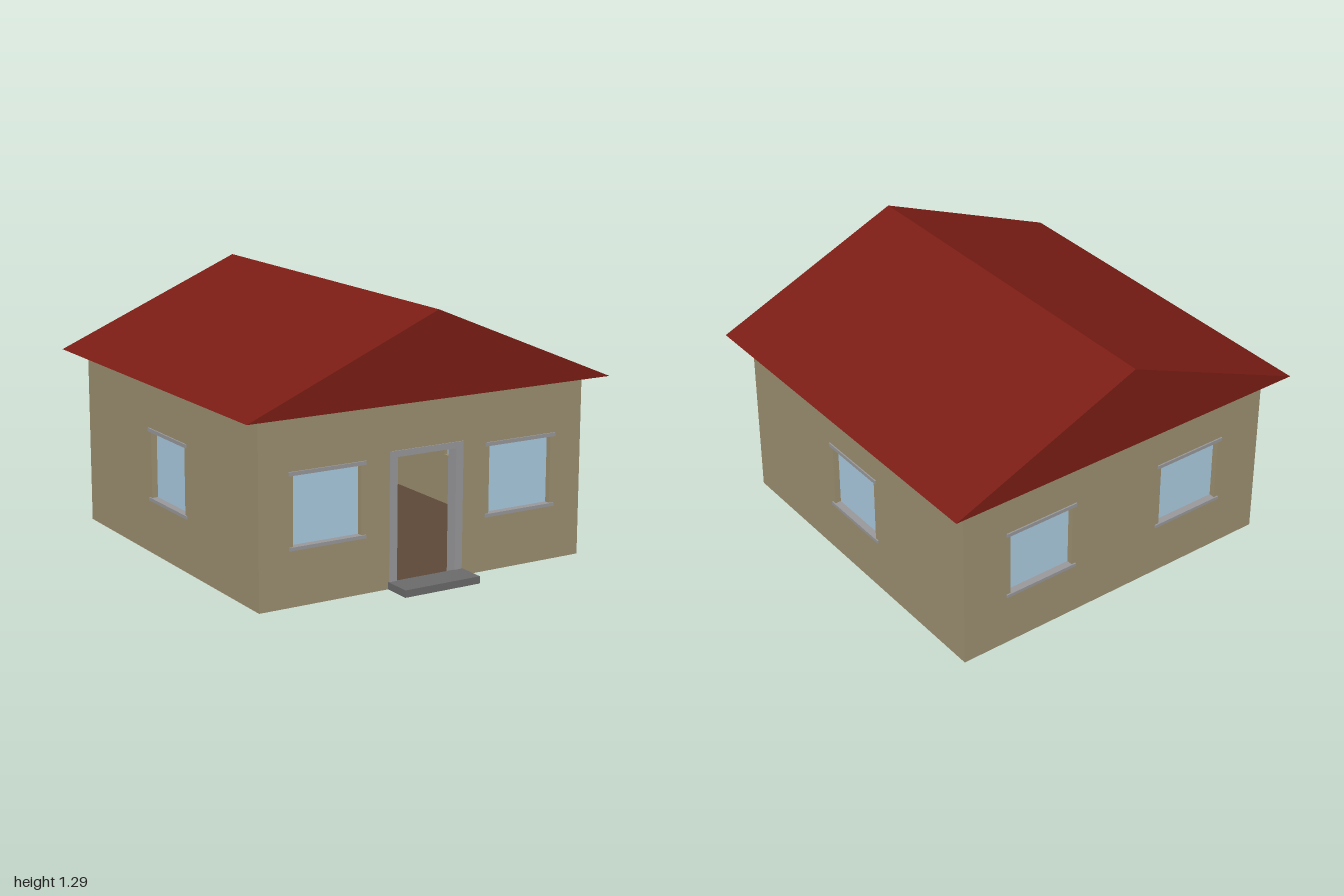
import * as THREE from 'three';

const mat = (color) => new THREE.MeshStandardMaterial({ color });
const wallMat = mat(0x9c8f70), roofMat = mat(0x7a1d14), glassMat = mat(0xaacbe0);
const trimMat = mat(0x98989a), stepMat = mat(0x6a6a6a), floorMat = mat(0x5e4837), woodMat = mat(0x4a3020);

const T = 0.06; // wall thickness
const H = 0.885; // eaves height
const WIN_Y0 = 0.275, WIN_Y1 = 0.61;
const X = 0.88, Z_FRONT = 0.855, Z_BACK = -0.91;

function box(name, material, x0, x1, y0, y1, z0, z1) {
  const m = new THREE.Mesh(new THREE.BoxGeometry(x1 - x0, y1 - y0, z1 - z0), material);
  m.position.set((x0 + x1) / 2, (y0 + y1) / 2, (z0 + z1) / 2);
  m.name = name;
  return m;
}

function extrude(name, material, shape, depth, z) {
  const m = new THREE.Mesh(new THREE.ExtrudeGeometry(shape, { depth, bevelEnabled: false }), material);
  m.position.z = z;
  m.name = name;
  return m;
}

const polygon = (pts) => new THREE.Shape(pts.map(([x, y]) => new THREE.Vector2(x, y)));

// Wall with outer face on local z = 0, cut by windows [u0, u1] and an optional doorway
function wall(name, u0, u1, windows, door) {
  const g = new THREE.Group();
  g.name = name;
  const notch = door ? [[-door.w, 0], [-door.w, door.h], [door.w, door.h], [door.w, 0]] : [];
  const shape = polygon([[u0, 0], ...notch, [u1, 0], [u1, H], [u0, H]]);
  for (const [a, b] of windows) {
    shape.holes.push(new THREE.Path([[a, WIN_Y0], [a, WIN_Y1], [b, WIN_Y1], [b, WIN_Y0]]
      .map(([x, y]) => new THREE.Vector2(x, y))));
    g.add(box('windowPane', glassMat, a, b, WIN_Y0, WIN_Y1, -0.04, -0.03));
    g.add(box('windowSill', trimMat, a - 0.022, b + 0.022, 0.264, 0.28, -0.03, 0.007));
    g.add(box('windowLintel', trimMat, a - 0.022, b + 0.022, 0.607, 0.625, -0.03, 0.007));
  }
  g.add(extrude('wallPanel', wallMat, shape, T, -T));
  return g;
}

export function createModel() {
  const house = new THREE.Group();
  house.name = 'house';

  // Four walls
  const door = { w: 0.2, h: 0.65 };
  const front = wall('frontWall', -X, X, [[-0.705, -0.35], [0.35, 0.705]], door);
  front.position.z = Z_FRONT;
  const back = wall('backWall', -X, X, [[-0.62, -0.265], [0.265, 0.62]]);
  back.position.z = Z_BACK;
  back.rotation.y = Math.PI;
  const left = wall('leftWall', -Z_FRONT + T, -Z_BACK - T, [[-0.15, 0.2]]);
  left.position.x = X;
  left.rotation.y = Math.PI / 2;
  const right = wall('rightWall', Z_BACK + T, Z_FRONT - T, [[-0.2, 0.15]]);
  right.position.x = -X;
  right.rotation.y = -Math.PI / 2;
  house.add(front, back, left, right);

  // Door frame lining the open doorway
  const frame = polygon([[-0.2, 0], [-0.16, 0], [-0.16, 0.62], [0.16, 0.62], [0.16, 0], [0.2, 0], [0.2, 0.65], [-0.2, 0.65]]);
  house.add(extrude('doorFrame', trimMat, frame, T + 0.005, Z_FRONT - T));

  // Front step and floor
  house.add(box('frontStep', stepMat, -0.205, 0.205, 0, 0.035, Z_FRONT, 1));
  house.add(box('floor', floorMat, -X + T, X - T, 0.002, 0.012, Z_BACK + T, Z_FRONT - T));

  // Solid gabled roof
  house.add(extrude('roof', roofMat, polygon([[-0.98, H], [0.98, H], [0, 1.295]]), 1.94, -1));

  // Table seen through the doorway
  const table = new THREE.Group();
  table.name = 'table';
  table.add(box('tableTop', woodMat, 0.085, 0.46, 0.212, 0.224, -0.4, -0.14));
  for (const x of [0.098, 0.432]) {
    for (const z of [-0.385, -0.17]) table.add(box('tableLeg', woodMat, x, x + 0.015, 0.001, 0.212, z, z + 0.015));
  }
  house.add(table);

  // Low cabinet against the right wall
  house.add(box('cabinet', stepMat, -0.82, -0.6, 0.001, 0.2, 0.17, 0.55));

  return house;
}
